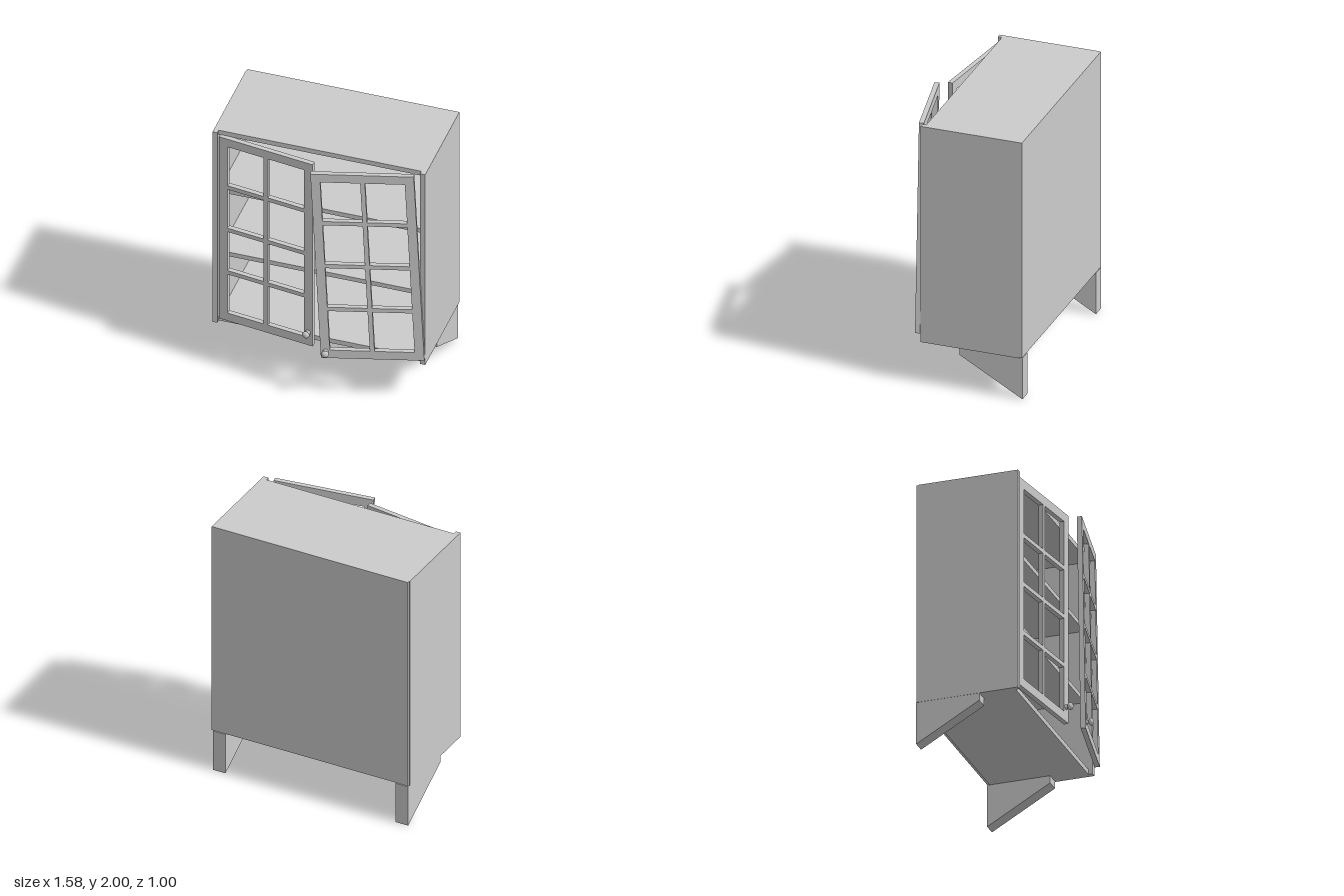
import * as THREE from 'three';

const material = new THREE.MeshStandardMaterial({ color: 0xcccccc });
const smoothKnob = new THREE.MeshStandardMaterial({ color: 0xcccccc, side: THREE.DoubleSide });

// Box given by its extents on each axis
function slab(name, [x0, x1], [y0, y1], [z0, z1]) {
  const mesh = new THREE.Mesh(new THREE.BoxGeometry(x1 - x0, y1 - y0, z1 - z0), material);
  mesh.position.set((x0 + x1) / 2, (y0 + y1) / 2, (z0 + z1) / 2);
  mesh.name = name;
  return mesh;
}

function rect(path, x0, y0, x1, y1) {
  path.moveTo(x0, y0);
  path.lineTo(x1, y0);
  path.lineTo(x1, y1);
  path.lineTo(x0, y1);
  path.closePath();
  return path;
}

// Door leaf centred on its own origin: frame with 2 x 4 open panes and a knob
const W = 0.73, H = 1.605, T = 0.036;
function createDoor(name, knobX, knobY) {
  const door = new THREE.Group();
  door.name = name;
  const stile = 0.066, bar = 0.033, cols = 2, rows = 4;
  const pw = (W - 2 * stile - (cols - 1) * bar) / cols;
  const ph = (H - 2 * stile - 0.006 - (rows - 1) * bar) / rows;
  const shape = rect(new THREE.Shape(), -W / 2, -H / 2, W / 2, H / 2);
  for (let c = 0; c < cols; c++) {
    for (let r = 0; r < rows; r++) {
      const x = -W / 2 + stile + c * (pw + bar);
      const y = -H / 2 + stile + 0.003 + r * (ph + bar);
      shape.holes.push(rect(new THREE.Path(), x, y, x + pw, y + ph));
    }
  }
  const geometry = new THREE.ExtrudeGeometry(shape, { depth: T, bevelEnabled: false });
  geometry.translate(0, 0, -T / 2);
  const frame = new THREE.Mesh(geometry, material);
  frame.name = 'doorFrame';
  door.add(frame);

  // Turned knob: flared foot, narrow neck, flattened ball
  const profile = [[0.02, 0], [0.018, 0.004], [0.011, 0.01], [0.01, 0.017]];
  for (let i = 0; i <= 10; i++) {
    const a = -1.15 + (i / 10) * (Math.PI / 2 + 1.15);
    profile.push([Math.max(0, 0.027 * Math.cos(a)), 0.035 + 0.019 * Math.sin(a)]);
  }
  const knob = new THREE.Mesh(
    new THREE.LatheGeometry(profile.map(([r, y]) => new THREE.Vector2(r, y)), 24), smoothKnob);
  knob.rotation.x = Math.PI / 2;
  knob.position.set(knobX, knobY, T / 2);
  knob.name = 'knob';
  door.add(knob);
  return door;
}

// Wedge bracket leg, profile drawn in (z, y) and extruded along x
function createLeg(name, x0, width) {
  const shape = new THREE.Shape(
    [[-0.5, 0], [-0.03, 0.265], [-0.03, 0.32], [-0.5, 0.32]].map(([z, y]) => new THREE.Vector2(-z, y)));
  const geometry = new THREE.ExtrudeGeometry(shape, { depth: width, bevelEnabled: false });
  geometry.rotateY(Math.PI / 2);
  const leg = new THREE.Mesh(geometry, material);
  leg.position.x = x0;
  leg.name = name;
  return leg;
}

export function createModel() {
  const model = new THREE.Group();
  model.name = 'cabinet';

  // Carcass
  const inner = [-0.755, 0.742];
  model.add(
    slab('rightSidePanel', [-0.79, -0.755], [0.32, 2], [-0.48, 0.26]),
    slab('leftSidePanel', [0.742, 0.78], [0.32, 2], [-0.48, 0.26]),
    slab('backPanel', [-0.784, 0.78], [0.325, 2], [-0.5, -0.48]),
    slab('topPanel', inner, [1.962, 2], [-0.48, 0.23]),
    slab('bottomPanel', inner, [0.32, 0.358], [-0.48, 0.23]));

  // Shelves
  for (const y of [0.88, 1.432]) {
    model.add(slab('shelf', inner, [y, y + 0.036], [-0.48, 0.2]));
  }

  // Legs
  model.add(createLeg('rightLeg', -0.788, 0.1), createLeg('leftLeg', 0.67, 0.1));

  // Doors: one ajar, the other ajar and sagging off its hinges
  const deg = Math.PI / 180;
  const rightDoor = createDoor('rightDoor', 0.33, -0.69);
  rightDoor.position.set(-0.38, 1.162, 0.288);
  rightDoor.rotation.y = -7.9 * deg;

  const leftDoor = createDoor('leftDoor', -0.33, -0.745);
  leftDoor.position.set(0.387, 1.17, 0.357);
  leftDoor.rotation.set(0, 12.1 * deg, 2.8 * deg, 'ZYX');
  model.add(rightDoor, leftDoor);

  return model;
}
